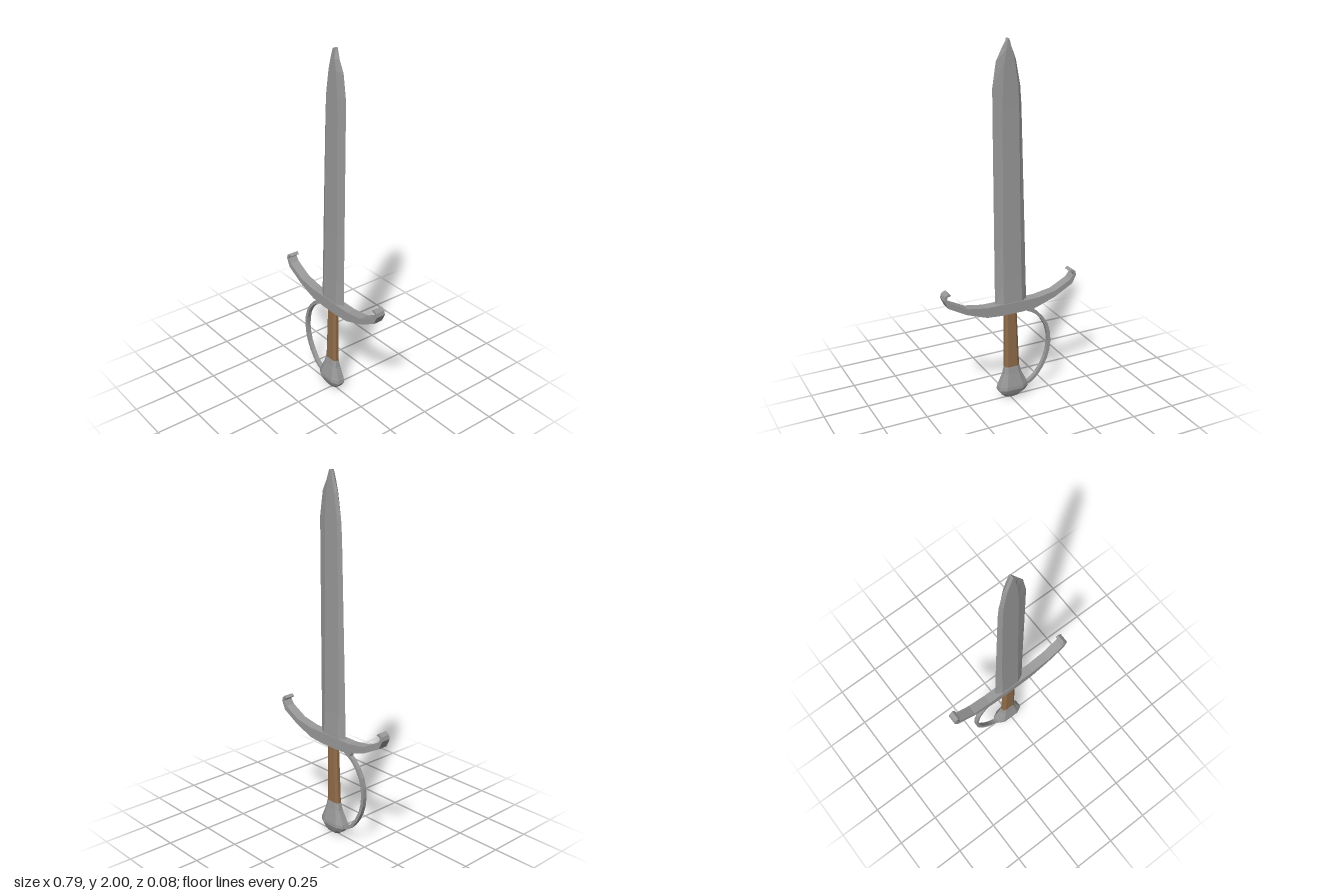
import * as THREE from 'three';

const steel = new THREE.MeshStandardMaterial({ color: 0x999999, flatShading: true });
steel.name = 'steel';
const wood = new THREE.MeshStandardMaterial({ color: 0x916d4a, flatShading: true });
wood.name = 'wood';

function addMesh(group, name, geometry, material) {
  const mesh = new THREE.Mesh(geometry, material);
  mesh.name = name;
  group.add(mesh);
}

// Skin closed rings (counter-clockwise from above, bottom to top) and cap both ends
function loft(rings) {
  const n = rings[0].length, index = [];
  for (let r = 0; r < rings.length - 1; r++) {
    for (let j = 0; j < n; j++) {
      const a = r * n + j, b = r * n + (j + 1) % n;
      index.push(a, b, b + n, a, b + n, a + n);
    }
  }
  const top = (rings.length - 1) * n;
  for (let j = 1; j < n - 1; j++) {
    index.push(0, j + 1, j, top, top + j, top + j + 1);
  }
  const g = new THREE.BufferGeometry();
  g.setAttribute('position', new THREE.Float32BufferAttribute(rings.flat(2), 3));
  g.setIndex(index);
  const flat = g.toNonIndexed();
  flat.computeVertexNormals();
  return flat;
}

// Six-sided blade section: two edges and a flat between the bevels
const bladeRing = ([y, xl, fl, fr, xr, h]) => [
  [xr, y, 0], [fr, y, -h], [fl, y, -h], [xl, y, 0], [fl, y, h], [fr, y, h],
];

// Eight-sided handle section
const octRing = ([y, xl, xr, h, bevel, c]) => [
  [xr, y, c], [xr, y, -c], [xr - bevel, y, -h], [xl + bevel, y, -h],
  [xl, y, -c], [xl, y, c], [xl + bevel, y, h], [xr - bevel, y, h],
];

// Extrude an outline, centred on z = 0
function plate(points, depth) {
  const shape = new THREE.Shape(points.map(([x, y]) => new THREE.Vector2(x, y)));
  const g = new THREE.ExtrudeGeometry(shape, { depth, bevelEnabled: false });
  g.translate(0, 0, -depth / 2);
  return g;
}

export function createModel() {
  const sword = new THREE.Group();
  sword.name = 'sword';

  // Blade: y, left edge, flat left, flat right, right edge, half thickness
  addMesh(sword, 'blade', loft([
    [0.55, -0.1, -0.062, 0.048, 0.09, 0.025],
    [0.72, -0.094, -0.06, 0.048, 0.091, 0.019],
    [1.0, -0.086, -0.056, 0.048, 0.093, 0.015],
    [1.66, -0.065, -0.045, 0.048, 0.098, 0.014],
    [1.76, -0.058, -0.04, 0.046, 0.098, 0.014],
    [1.89, -0.034, -0.021, 0.037, 0.078, 0.014],
    [1.95, -0.012, -0.005, 0.025, 0.048, 0.014],
    [2.0, 0.008, 0.01, 0.016, 0.018, 0.013],
  ].map(bladeRing)), steel);

  // Guard: half outline from the underside round the curl, then mirrored
  const half = [
    [0.06, 0.52], [0.148, 0.527], [0.265, 0.568], [0.373, 0.627],
    [0.396, 0.675], [0.39, 0.697], [0.37, 0.712], [0.355, 0.7],
    [0.362, 0.694], [0.374, 0.694], [0.379, 0.68], [0.36, 0.653],
    [0.262, 0.602], [0.155, 0.584],
  ];
  const mirrored = half.map(([x, y]) => [-x, y]).reverse();
  addMesh(sword, 'guard', plate([...half, ...mirrored], 0.055), steel);

  // Knuckle bow: constant-width strip along a curve
  const path = new THREE.CatmullRomCurve3([
    [-0.1, 0.52], [-0.16, 0.485], [-0.222, 0.4], [-0.24, 0.295],
    [-0.22, 0.195], [-0.165, 0.105], [-0.12, 0.068], [-0.09, 0.06],
  ].map(([x, y]) => new THREE.Vector3(x, y, 0)));
  const outer = [], inner = [];
  for (let i = 0; i <= 14; i++) {
    const p = path.getPoint(i / 14), t = path.getTangent(i / 14);
    outer.push([p.x + t.y * 0.009, p.y - t.x * 0.009]);
    inner.unshift([p.x - t.y * 0.009, p.y + t.x * 0.009]);
  }
  addMesh(sword, 'knuckleBow', plate([...outer, ...inner], 0.024), steel);
  addMesh(sword, 'bowMount', plate([
    [-0.15, 0.53], [-0.142, 0.495], [-0.11, 0.505], [-0.085, 0.53],
  ], 0.024), steel);

  // Grip: y, left, right, half depth, bevel, side flat half width
  addMesh(sword, 'grip', loft([
    [0.18, -0.053, 0.034, 0.019, 0.015, 0.009],
    [0.53, -0.036, 0.033, 0.018, 0.013, 0.009],
  ].map(octRing)), wood);

  // Pommel
  addMesh(sword, 'pommel', loft([
    [0, -0.03, 0.012, 0.012, 0.012, 0.006],
    [0.008, -0.055, 0.032, 0.022, 0.02, 0.01],
    [0.03, -0.085, 0.058, 0.032, 0.03, 0.016],
    [0.055, -0.103, 0.074, 0.041, 0.038, 0.02],
    [0.075, -0.1, 0.071, 0.04, 0.037, 0.02],
    [0.15, -0.064, 0.042, 0.026, 0.02, 0.013],
    [0.19, -0.054, 0.035, 0.021, 0.016, 0.01],
  ].map(octRing)), steel);

  return sword;
}
